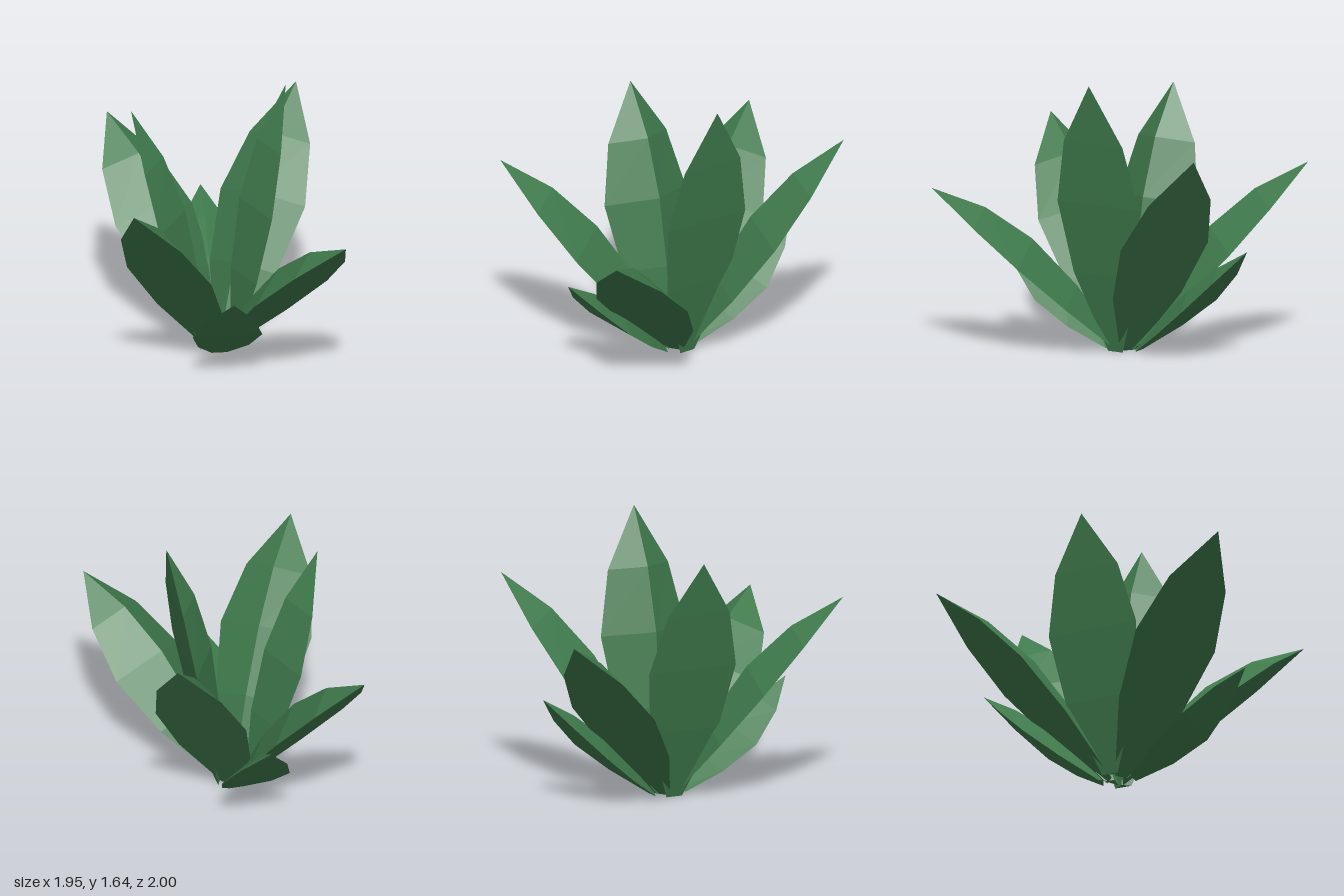
import * as THREE from 'three';

const CENTRE = new THREE.Vector3(-0.045, 0, -0.03);
// Cross-sections along a leaf: [fraction of length, half width, ridge height]
const BROAD = [[0, 0.05, 0.025], [0.29, 0.22, 0.13], [0.555, 0.28, 0.165], [0.785, 0.2, 0.122]];
const SMALL = [[0, 0.045, 0.02], [0.25, 0.15, 0.08], [0.51, 0.205, 0.115], [0.77, 0.138, 0.08]];

// Faceted leaf: flat underside, raised midrib on top, pointed tip
function leafGeometry(tip, rows, baseRadius, bulge) {
  const radial = tip.clone().sub(CENTRE).setY(0).normalize();
  const base = CENTRE.clone().addScaledVector(radial, baseRadius);
  const along = tip.clone().sub(base).normalize();
  const side = new THREE.Vector3(radial.z, 0, -radial.x);
  const normal = along.clone().cross(side);

  const rings = rows.map(([t, halfWidth, ridge]) => {
    const mid = base.clone().lerp(tip, t).addScaledVector(normal, -bulge * Math.sin(Math.PI * t));
    return [
      mid.clone().addScaledVector(side, -halfWidth),
      mid.clone().addScaledVector(side, halfWidth),
      mid.clone().addScaledVector(normal, ridge),
    ];
  });
  rings.push([tip, tip, tip]);

  const points = [rings[0][0], rings[0][2], rings[0][1]];
  for (let r = 0; r < rings.length - 1; r++) {
    const a = rings[r], b = rings[r + 1];
    for (let i = 0; i < 3; i++) {
      const j = (i + 1) % 3;
      points.push(a[i], a[j], b[j]);
      if (b !== rings[rings.length - 1]) points.push(a[i], b[j], b[i]);
    }
  }
  const geometry = new THREE.BufferGeometry().setFromPoints(points);
  geometry.computeVertexNormals();
  return geometry;
}

export function createModel() {
  const plant = new THREE.Group();
  plant.name = 'leafyPlant';
  const green = new THREE.MeshStandardMaterial({ color: 0x3f7a4c, flatShading: true });

  // Each tier: cross-sections, base radius, outward bulge, leaf tips
  const tiers = [
    { name: 'outerLeaf', rows: BROAD, radius: 0.05, bulge: 0,
      tips: [[-0.135, 1.21, 1], [0.975, 0.98, 0.45], [0.04, 1.31, -1], [-0.975, 1.12, -0.565]] },
    { name: 'innerLeaf', rows: BROAD, radius: 0.1, bulge: 0.025,
      tips: [[0.305, 1.645, -0.225], [-0.5, 1.505, 0.19]] },
    { name: 'smallLeaf', rows: SMALL, radius: 0.1, bulge: 0.045,
      tips: [[0.355, 0.6, 0.66], [-0.46, 0.67, -0.75]] },
  ];
  for (const { name, rows, radius, bulge, tips } of tiers) {
    tips.forEach((tip, i) => {
      const leaf = new THREE.Mesh(leafGeometry(new THREE.Vector3(...tip), rows, radius, bulge), green);
      leaf.name = name + (i + 1);
      plant.add(leaf);
    });
  }
  return plant;
}
